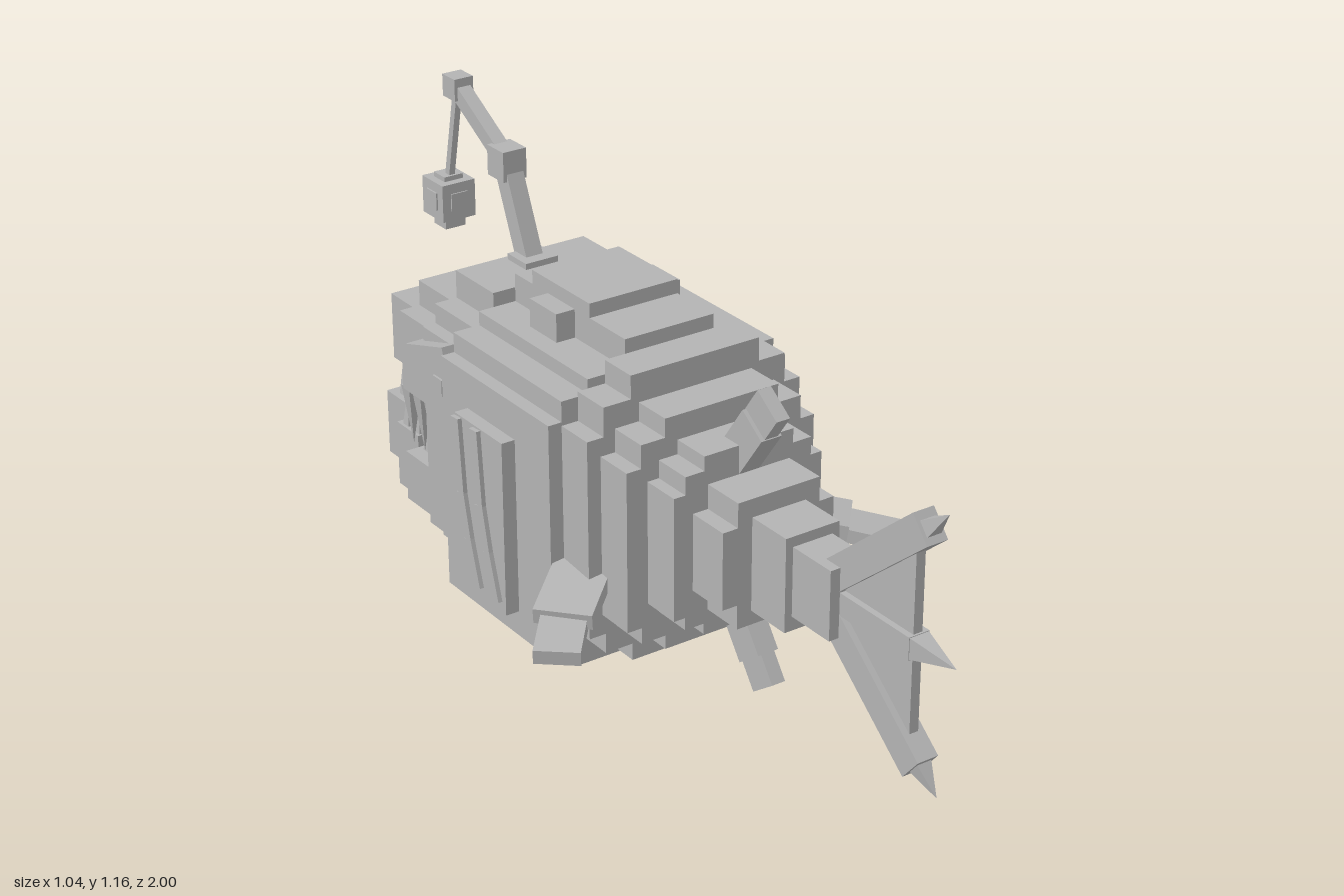
import * as THREE from 'three';

export function createModel() {
  const model = new THREE.Group();
  model.name = 'anglerFish';
  const grey = new THREE.MeshStandardMaterial({ color: 0xb3b3b3, flatShading: true, side: THREE.DoubleSide });
  grey.name = 'plain grey';

  const part = (name) => {
    const g = new THREE.Group();
    g.name = name;
    model.add(g);
    return g;
  };
  const add = (parent, geo, name) => {
    const m = new THREE.Mesh(geo, grey);
    m.name = name;
    parent.add(m);
    return m;
  };
  // Box given by its limits
  const box = (parent, name, x0, x1, y0, y1, z0, z1) => {
    const m = add(parent, new THREE.BoxGeometry(x1 - x0, y1 - y0, Math.abs(z1 - z0)), name);
    m.position.set((x0 + x1) / 2, (y0 + y1) / 2, (z0 + z1) / 2);
    return m;
  };
  // Bar between two points: w across, t through
  const bar = (parent, name, a, b, w, t) => {
    const A = new THREE.Vector3(...a), B = new THREE.Vector3(...b);
    const m = add(parent, new THREE.BoxGeometry(w, t, A.distanceTo(B)), name);
    m.position.copy(A).add(B).multiplyScalar(0.5);
    m.lookAt(B);
    return m;
  };
  // Four-sided spike from base to tip
  const spike = (parent, name, a, b, r) => {
    const A = new THREE.Vector3(...a), B = new THREE.Vector3(...b);
    const geo = new THREE.ConeGeometry(r, A.distanceTo(B), 4).rotateY(Math.PI / 4);
    const m = add(parent, geo, name);
    m.position.copy(A).add(B).multiplyScalar(0.5);
    m.quaternion.setFromUnitVectors(new THREE.Vector3(0, 1, 0), B.sub(A).normalize());
    return m;
  };

  // Body: stepped slices, each made of nested blocks [half width, bottom, top]
  const body = part('body');
  const slice = (z0, z1, layers) => layers.forEach(([w, y0, y1]) => box(body, 'bodySlice', -w, w, y0, y1, z0, z1));
  const stepped = (w, y0, y1) => {
    const h = y1 - y0;
    return [[w, y0 + 0.13 * h, y1 - 0.18 * h], [w * 0.85, y0 + 0.06 * h, y1 - 0.08 * h], [w * 0.6, y0, y1]];
  };
  slice(0.65, 0.52, [[0.053, 0.35, 0.52]]);
  slice(0.52, 0.40, [[0.072, 0.315, 0.545]]);
  slice(0.40, 0.29, [[0.15, 0.34, 0.53], [0.11, 0.28, 0.59]]);
  slice(0.29, 0.19, stepped(0.2, 0.22, 0.66));
  slice(0.19, 0.09, stepped(0.255, 0.145, 0.72));
  slice(0.09, -0.01, stepped(0.29, 0.075, 0.79));
  slice(-0.01, -0.46, [[0.325, 0.075, 0.67], [0.29, 0.07, 0.72], [0.22, 0.04, 0.755], [0.255, 0.04, 0.1], [0.12, 0.04, 0.825]]);
  slice(-0.15, -0.385, [[0.12, 0, 0.86], [0.19, 0, 0.1]]);
  slice(-0.21, -0.32, [[0.17, 0.7, 0.825]]);
  slice(-0.46, -0.625, [[0.275, 0.15, 0.67], [0.24, 0.105, 0.72], [0.18, 0.075, 0.79]]);

  // Upper jaw and nostrils
  const snout = part('upperJaw');
  box(snout, 'jawBack', -0.255, 0.255, 0.45, 0.655, -0.765, -0.625);
  box(snout, 'jawTop', -0.2, 0.2, 0.655, 0.72, -0.765, -0.625);
  box(snout, 'jawFront', -0.22, 0.22, 0.485, 0.655, -0.865, -0.765);
  for (const s of [-1, 1]) {
    box(snout, 'nostril', s * 0.06 - 0.025, s * 0.06 + 0.025, 0.56, 0.61, -0.871, -0.865);
  }

  // Lower jaw
  const jaw = part('lowerJaw');
  box(jaw, 'jawBack', -0.255, 0.255, 0.15, 0.28, -0.765, -0.625);
  box(jaw, 'jawBackKeel', -0.2, 0.2, 0.105, 0.15, -0.765, -0.625);
  box(jaw, 'jawMiddle', -0.22, 0.22, 0.14, 0.31, -0.865, -0.765);
  box(jaw, 'jawFront', -0.185, 0.185, 0.175, 0.345, -0.97, -0.865);

  // Teeth along the front and both sides
  const teeth = part('teeth');
  for (let i = 0; i < 7; i++) {
    const x = -0.15 + i * 0.05;
    spike(teeth, 'upperTooth', [x * 1.25, 0.49, -0.84], [x * 1.25, i % 2 ? 0.33 : 0.37, -0.84], 0.025);
    spike(teeth, 'lowerTooth', [x, 0.34, -0.92], [x, i % 2 ? 0.43 : 0.49, -0.93], 0.026);
  }
  for (const s of [-1, 1]) {
    for (let i = 0; i < 4; i++) {
      const z = -0.655 - i * 0.052;
      const w = i < 3 ? 0.235 : 0.2;
      spike(teeth, 'upperSideTooth', [s * w, i < 3 ? 0.455 : 0.49, z], [s * w, 0.3, z], 0.026);
      spike(teeth, 'lowerSideTooth', [s * 0.2, 0.27, z - 0.025], [s * 0.2, 0.42, z - 0.025], 0.024);
    }
  }

  for (const s of [-1, 1]) {
    // Eyes with slanted brows
    const eye = part(s > 0 ? 'leftEye' : 'rightEye');
    const plate = (name, x, y, z, h, d, t) => box(eye, name, s * x - t / 2, s * x + t / 2, y - h / 2, y + h / 2, z - d / 2, z + d / 2);
    plate('eyeball', 0.277, 0.543, -0.545, 0.115, 0.11, 0.012);
    plate('pupil', 0.285, 0.55, -0.545, 0.042, 0.04, 0.008);
    bar(eye, 'brow', [s * 0.282, 0.655, -0.475], [s * 0.282, 0.603, -0.642], 0.056, 0.048);

    // Gill panel with bent slats
    const gill = part(s > 0 ? 'leftGill' : 'rightGill');
    box(gill, 'gillPanel', s * 0.335 - 0.025, s * 0.335 + 0.025, 0.14, 0.58, -0.35, -0.15);
    for (const z of [-0.255, -0.335]) {
      const pts = [[0.575, z], [0.39, z + 0.015], [0.28, z + 0.04], [0.165, z + 0.075]];
      for (let i = 0; i < 3; i++) {
        bar(gill, 'gillSlat', [s * 0.363, ...pts[i]], [s * 0.363, ...pts[i + 1]], 0.032, 0.016)
          .rotateZ(Math.PI / 2);
      }
    }

    // Pectoral fins
    const fin = part(s > 0 ? 'leftPectoralFin' : 'rightPectoralFin');
    bar(fin, 'finRoot', [s * 0.22, 0.32, -0.01], [s * 0.4, 0.284, 0.15], 0.135, 0.038);
    bar(fin, 'finTip', [s * 0.38, 0.275, 0.13], [s * 0.478, 0.258, 0.245], 0.105, 0.035);

    // Small back and belly fins, mirrored about the tail axis
    const small = part(s > 0 ? 'backFin' : 'bellyFin');
    const Y = (y) => 0.435 + s * y;
    bar(small, 'finRoot', [0, Y(0.13), 0.22], [0, Y(0.29), 0.335], 0.055, 0.085);
    bar(small, 'finTip', [0, Y(0.28), 0.325], [0, Y(0.35), 0.375], 0.036, 0.085);

    // Upper and lower tail rays
    const ray = part(s > 0 ? 'upperTailRay' : 'lowerTailRay');
    bar(ray, 'ray', [0, Y(0.035), 0.6], [0, Y(0.285), 0.9], 0.055, 0.075);
    spike(ray, 'rayTip', [0, Y(0.27), 0.885], [0, Y(0.335), 0.957], 0.034);
  }

  // Tail middle ray and web
  const tail = part('tailCentre');
  box(tail, 'middleRay', -0.027, 0.027, 0.405, 0.46, 0.62, 0.88);
  spike(tail, 'middleTip', [0, 0.433, 0.88], [0, 0.433, 1], 0.036);
  const web = new THREE.Shape([[0.6, 0.433], [0.875, 0.67], [0.875, 0.2]].map(([z, y]) => new THREE.Vector2(-z, y)));
  const webGeo = new THREE.ExtrudeGeometry(web, { depth: 0.024, bevelEnabled: false });
  add(tail, webGeo.translate(0, 0, -0.012).rotateY(Math.PI / 2), 'tailWeb');

  // Lure stalk
  const lure = part('lure');
  box(lure, 'stalkBase', -0.045, 0.045, 0.77, 0.805, -0.61, -0.53);
  bar(lure, 'lowerStalk', [0, 0.77, -0.575], [0, 1.0, -0.672], 0.046, 0.05);
  box(lure, 'stalkJoint', -0.032, 0.032, 0.97, 1.045, -0.71, -0.64);
  bar(lure, 'upperStalk', [0, 1.01, -0.68], [0, 1.13, -0.885], 0.036, 0.04);
  box(lure, 'stalkTip', -0.026, 0.026, 1.105, 1.16, -0.915, -0.86);
  bar(lure, 'lureCord', [0, 1.12, -0.89], [0, 0.87, -0.943], 0.016, 0.018);

  // Hanging lantern with small window plates
  box(lure, 'lantern', -0.046, 0.046, 0.785, 0.88, -0.994, -0.9);
  box(lure, 'lanternCap', -0.026, 0.026, 0.88, 0.892, -0.972, -0.922);
  box(lure, 'lanternFoot', -0.028, 0.028, 0.757, 0.785, -0.974, -0.92);
  for (const s of [-1, 1]) {
    box(lure, 'lanternSideWindow', s * 0.047 - 0.003, s * 0.047 + 0.003, 0.81, 0.855, -0.97, -0.924);
    box(lure, 'lanternEndWindow', -0.023, 0.023, 0.81, 0.855, -0.947 + s * 0.048 - 0.003, -0.947 + s * 0.048 + 0.003);
  }
  return model;
}
